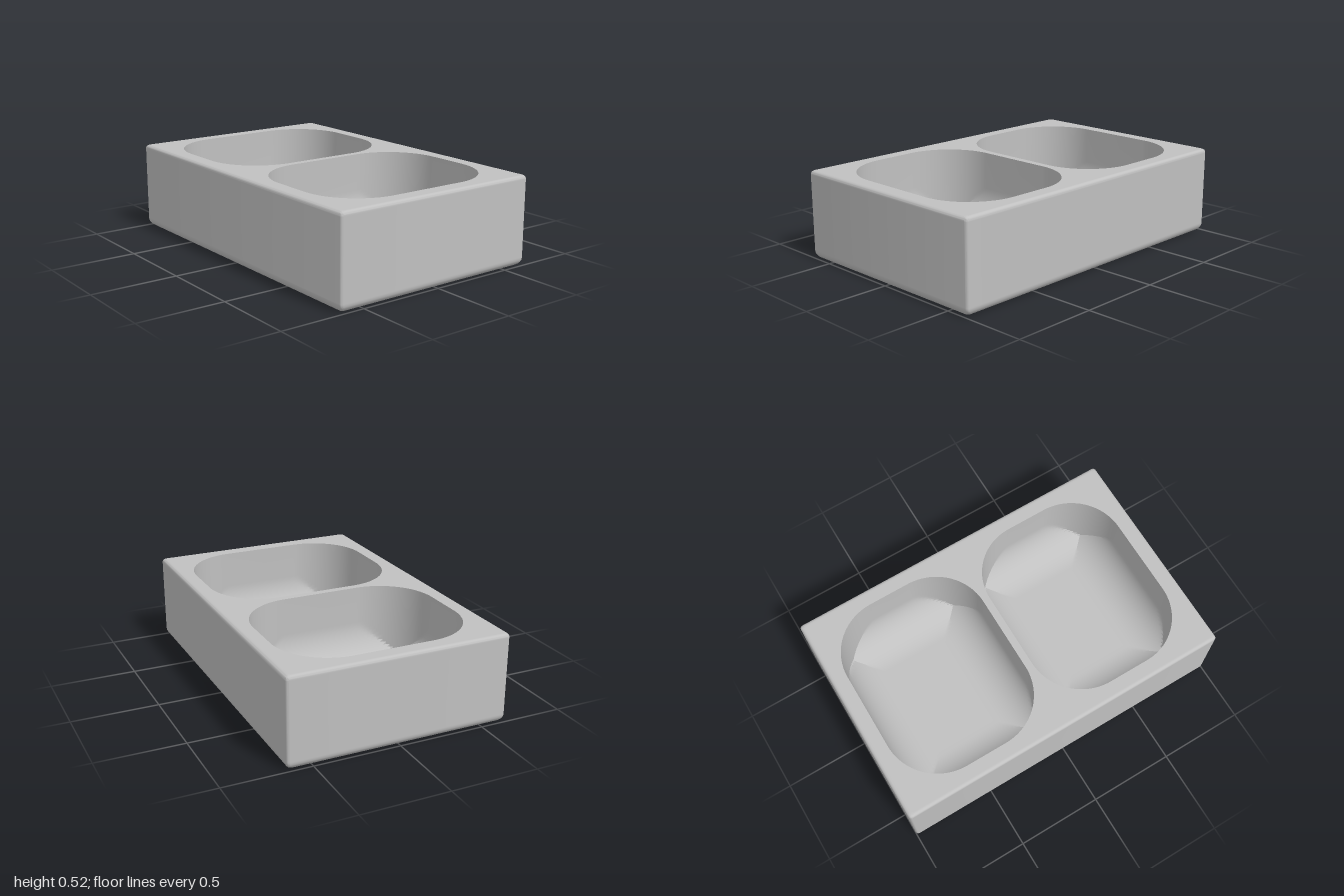
import * as THREE from 'three';
import { mergeGeometries, toCreasedNormals } from 'three/addons/utils/BufferGeometryUtils.js';

const HEIGHT = 0.52, HALF_X = 1, HALF_Z = 0.645;
const BASIN = { a: 0.442, b: 0.552, corner: 0.32, fillet: 0.24, floor: 0.06, centres: [-0.465, 0.462] };
const STEPS = 24; // segments per basin corner

// Rounded rectangle outline in the ground plane
function outline(a, b, r, steps) {
  const points = [];
  for (let q = 0; q < 4; q++) {
    const sx = q === 0 || q === 3 ? 1 : -1, sz = q < 2 ? 1 : -1;
    for (let k = 0; k <= steps; k++) {
      const t = (q + k / steps) * Math.PI / 2;
      points.push(new THREE.Vector2(sx * (a - r) + r * Math.cos(t), sz * (b - r) + r * Math.sin(t)));
    }
  }
  return points;
}

// Skin between stacked loops, facing outward or inward
function loft(loops, inward) {
  const out = [], n = loops[0].length;
  const tri = new THREE.Triangle();
  const face = (a, b, c) => {
    tri.set(a, b, c);
    if (tri.getArea() < 1e-9) return;
    for (const p of inward ? [a, c, b] : [a, b, c]) out.push(p.x, p.y, p.z);
  };
  for (let j = 0; j + 1 < loops.length; j++) {
    for (let i = 0; i < n; i++) {
      const k = (i + 1) % n, up = loops[j], low = loops[j + 1];
      face(up[i], up[k], low[i]);
      face(up[k], low[k], low[i]);
    }
  }
  const g = new THREE.BufferGeometry();
  g.setAttribute('position', new THREE.Float32BufferAttribute(out, 3));
  return g;
}

// Flat horizontal face, looking up or down
function plate(points, holes, y, up) {
  const shape = new THREE.Shape(points);
  shape.holes = holes.map((h) => new THREE.Path(h));
  const g = new THREE.ShapeGeometry(shape).toNonIndexed();
  g.rotateX(up ? -Math.PI / 2 : Math.PI / 2).translate(0, y, 0);
  g.deleteAttribute('uv');
  g.deleteAttribute('normal');
  return g;
}

// Block with softened edges and two openings in its top
function blockGeometry() {
  const topR = 0.02, lowR = 0.045, n = 6;
  const profile = [[topR + 0.006, HEIGHT]];
  for (let i = 0; i <= n; i++) {
    const t = i / n * Math.PI / 2;
    profile.push([topR * (1 - Math.sin(t)), HEIGHT - topR * (1 - Math.cos(t))]);
  }
  profile.push([0, HEIGHT - topR - 0.006], [0, lowR + 0.006]);
  for (let i = 0; i <= n; i++) {
    const t = i / n * Math.PI / 2;
    profile.push([lowR * (1 - Math.cos(t)), lowR * (1 - Math.sin(t))]);
  }
  profile.push([lowR + 0.006, 0]);
  const ring = (inset) => outline(HALF_X - inset, HALF_Z - inset, 0.018, 5);
  const loops = profile.map(([inset, y]) => ring(inset).map((p) => new THREE.Vector3(p.x, y, p.y)));
  const holes = BASIN.centres.map((cx) =>
    outline(BASIN.a, BASIN.b, BASIN.corner, STEPS).map((p) => new THREE.Vector2(p.x + cx, p.y)));
  return toCreasedNormals(mergeGeometries([
    loft(loops, false),
    plate(ring(topR + 0.006), holes, HEIGHT, true),
    plate(ring(lowR + 0.006), [], 0, false),
  ]), 0.6);
}

// Basin: upright rounded walls cut by four curved slopes that meet in mitred corners
function basinGeometry() {
  const { a, b, corner, fillet, floor } = BASIN;
  const rim = outline(a, b, corner, STEPS);
  const insets = [];
  for (let k = 0; k <= STEPS / 2; k++) insets.push(corner * (1 - Math.cos(k / STEPS * Math.PI / 2)));
  const start = insets[insets.length - 1];
  for (let k = 1; k <= 8; k++) insets.push(start + (fillet - start) * k / 8);
  insets.push(fillet + 0.02, a);
  const loop = (d, y) => rim.map((p) => new THREE.Vector3(
    THREE.MathUtils.clamp(p.x, d - a, a - d), y, THREE.MathUtils.clamp(p.y, d - b, b - d)));
  const loops = [loop(0, HEIGHT)];
  for (const d of insets) {
    const run = Math.max(0, fillet - d);
    loops.push(loop(d, floor + fillet - Math.sqrt(fillet * fillet - run * run)));
  }
  return toCreasedNormals(loft(loops, true), 0.5);
}

export function createModel() {
  const group = new THREE.Group();
  group.name = 'doubleBasin';
  const grey = new THREE.MeshStandardMaterial({ color: 0xc0c0c0 });
  grey.name = 'light grey';

  const block = new THREE.Mesh(blockGeometry(), grey);
  block.name = 'block';
  group.add(block);

  const geometry = basinGeometry();
  BASIN.centres.forEach((cx, i) => {
    const basin = new THREE.Mesh(geometry, grey);
    basin.name = i ? 'leftBasin' : 'rightBasin';
    basin.position.x = cx;
    group.add(basin);
  });
  return group;
}
